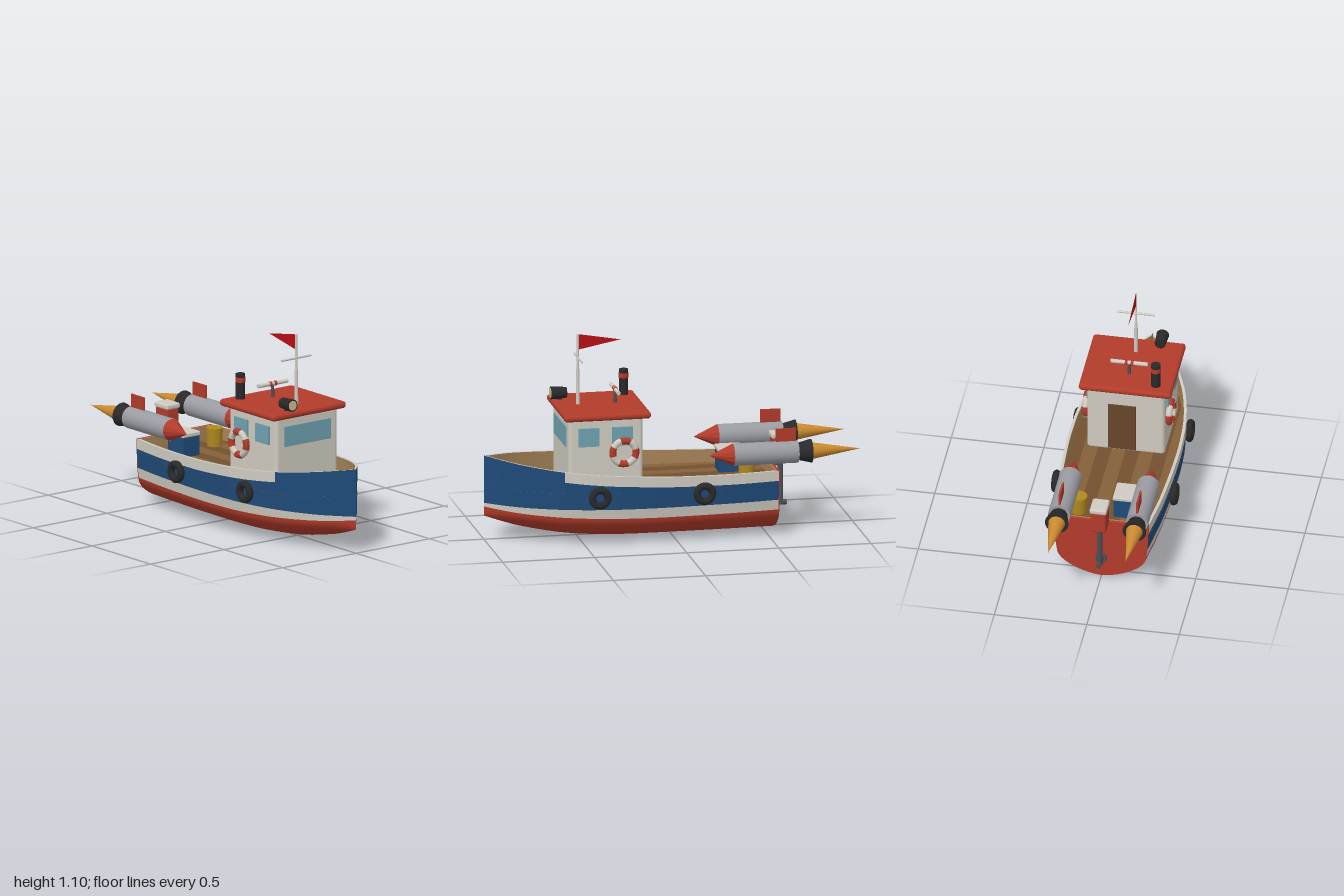
import * as THREE from 'three';
import { RoundedBoxGeometry } from 'three/addons/geometries/RoundedBoxGeometry.js';

const RED = 0xb23b2a, BLUE = 0x1f4a78, WHITE = 0xcfcbc1, TAN = 0xa88458, DARK = 0x29292b,
  STEEL = 0x9a9ca2, IRON = 0x4b4f55, GLASS = 0x6fa3b0, DECK_Y = 0.29;

const V = (x, y, z) => new THREE.Vector3(x, y, z);

function add(parent, name, geo, color, x = 0, y = 0, z = 0, opts = {}) {
  const mesh = new THREE.Mesh(geo, new THREE.MeshStandardMaterial({ color, ...opts }));
  mesh.name = name;
  mesh.position.set(x, y, z);
  parent.add(mesh);
  return mesh;
}

const box = (w, h, d) => new THREE.BoxGeometry(w, h, d);
const cyl = (rTop, rBottom, h, n = 20) => new THREE.CylinderGeometry(rTop, rBottom, h, n);
// Cylinder or cone lying along z
const zCyl = (rBack, rFront, length, n = 20) => cyl(rBack, rFront, length, n).rotateX(-Math.PI / 2);
const xCyl = (r, length) => cyl(r, r, length, 14).rotateZ(Math.PI / 2);

// Skin over rows of points
function skin(rows) {
  const n = rows[0].length, index = [];
  for (let i = 0; i < rows.length - 1; i++) {
    for (let j = 0; j < n - 1; j++) {
      const a = i * n + j, b = a + n;
      index.push(a, a + 1, b + 1, a, b + 1, b);
    }
  }
  const geo = new THREE.BufferGeometry().setFromPoints(rows.flat());
  geo.setIndex(index);
  geo.computeVertexNormals();
  return geo;
}

// Hull stations: z, half width, sheer, keel, top of the red bottom
const STATIONS = [
  [-0.55, 0.255, 0.36, 0, 0.145], [-0.3, 0.285, 0.36, 0, 0.145], [0, 0.303, 0.366, 0, 0.145],
  [0.2, 0.305, 0.376, 0, 0.146], [0.4, 0.29, 0.388, 0.006, 0.149], [0.61, 0.242, 0.406, 0.027, 0.155],
  [0.8, 0.158, 0.43, 0.066, 0.164], [0.91, 0.08, 0.446, 0.098, 0.172], [1, 0, 0.46, 0.13, 0.18],
];
const SUB = 4, STEP = 5 * SUB;

function hullSamples() {
  const curve = (a, b) => new THREE.CatmullRomCurve3(STATIONS.map((s) => V(s[a], s[b], s[0])), false, 'catmullrom');
  const upper = curve(1, 2), lower = curve(3, 4), count = (STATIONS.length - 1) * SUB;
  return Array.from({ length: count + 1 }, (_, i) => {
    const p = upper.getPoint(i / count), q = lower.getPoint(i / count);
    return { z: p.z, w: Math.max(0, p.x), sheer: p.y, keel: Math.max(0, q.x), red: q.y };
  });
}

const bottomRow = (s) => Array.from({ length: 21 }, (_, j) => {
  const a = (j / 20 - 0.5) * Math.PI;
  return V(0.945 * s.w * Math.sin(a), s.keel + (s.red - s.keel) * Math.pow(1 - Math.cos(a), 0.8), s.z);
});

function buildHull(boat) {
  const hull = new THREE.Group();
  hull.name = 'hull';
  boat.add(hull);
  const S = hullSamples(), aft = S.slice(0, STEP + 1), fore = S.slice(STEP);
  add(hull, 'hullBottom', skin(S.map(bottomRow)), RED);

  for (const side of [1, -1]) {
    const strip = (name, samples, color, points) => add(hull, name, skin(samples.map((s) => {
      const row = points(s).map(([x, y]) => V(side * x, y, s.z));
      return side > 0 ? row : row.reverse();
    })), color, 0, 0, 0, { side: THREE.DoubleSide });
    const inner = (s) => Math.max(0, s.w - 0.016);
    strip('waterlineStripe', S, WHITE, (s) => [[0.945 * s.w, s.red], [0.975 * s.w, 0.2]]);
    strip('bluePlanking', aft, BLUE, (s) => [[0.975 * s.w, 0.2], [s.w, s.sheer - 0.055]]);
    strip('upperStripe', aft, WHITE, (s) => [[s.w, s.sheer - 0.055], [s.w, s.sheer]]);
    strip('blueBow', fore, BLUE, (s) => [[0.975 * s.w, 0.2], [s.w, s.sheer - 0.055], [s.w, s.sheer]]);
    strip('gunwale', S, WHITE, (s) => [[s.w, s.sheer], [inner(s), s.sheer]]);
    strip('bulwarkLining', S, TAN, (s) => [[inner(s), s.sheer], [inner(s), DECK_Y]]);
  }

  // Transom closes the stern
  const s0 = S[0];
  const outline = [...bottomRow(s0), V(0.975 * s0.w, 0.2, 0), V(s0.w, s0.sheer, 0),
    V(-s0.w, s0.sheer, 0), V(-0.975 * s0.w, 0.2, 0)].map((p) => new THREE.Vector2(p.x, p.y));
  add(hull, 'transom', new THREE.ExtrudeGeometry(new THREE.Shape(outline), { depth: 0.015, bevelEnabled: false }),
    RED, 0, 0, -0.555);
  add(hull, 'transomLining', box(0.476, 0.072, 0.008), TAN, 0, 0.324, -0.536);

  // Deck planks, cut to the hull outline
  const planks = 8, pw = 0.6 / planks;
  for (let k = 0; k < planks; k++) {
    const x0 = -0.3 + k * pw;
    const rows = S.map((s) => [x0 + pw, x0].map((x) => V(THREE.MathUtils.clamp(x, -s.w, s.w), DECK_Y, s.z)));
    add(hull, 'deckPlank', skin(rows), k % 2 ? 0x72502e : 0x84603a);
  }
  const tip = S.filter((s) => s.z > 0.85);
  add(hull, 'bowDeck', skin(tip.map((s) => [V(s.w, DECK_Y + 0.012, s.z), V(-s.w, DECK_Y + 0.012, s.z)])), TAN);
}

// Ring of alternating red and white arcs, facing x
function lifebuoy(parent, x, y, z) {
  const ring = new THREE.Group();
  ring.name = 'lifebuoy';
  for (let i = 0; i < 8; i++) {
    const arc = new THREE.TorusGeometry(0.063, 0.019, 10, 6, Math.PI / 4);
    arc.rotateZ((i * Math.PI) / 4 + 0.3).rotateY(Math.PI / 2);
    add(ring, 'lifebuoyArc', arc, i % 2 ? RED : WHITE);
  }
  ring.position.set(x, y, z);
  parent.add(ring);
}

function buildCabin(boat) {
  const cabin = new THREE.Group();
  cabin.name = 'cabin';
  boat.add(cabin);
  add(cabin, 'cabinWalls', new RoundedBoxGeometry(0.42, 0.41, 0.405, 3, 0.02), WHITE, 0, 0.485, 0.38);
  add(cabin, 'roof', new RoundedBoxGeometry(0.5, 0.038, 0.47, 4, 0.018), RED, 0, 0.698, 0.375);
  add(cabin, 'frontWindow', box(0.312, 0.11, 0.012), GLASS, 0, 0.58, 0.583);
  add(cabin, 'door', box(0.15, 0.285, 0.016), 0x68462a, 0.02, 0.443, 0.177);
  for (const side of [1, -1]) {
    for (const z of [0.473, 0.291]) add(cabin, 'sideWindow', box(0.024, 0.1, 0.11), GLASS, side * 0.21, 0.585, z);
    lifebuoy(cabin, side * 0.225, 0.497, 0.283);
  }

  // Mast with yard and pennant
  add(cabin, 'mast', cyl(0.009, 0.011, 0.2), WHITE, 0, 0.81, 0.49);
  add(cabin, 'topmast', cyl(0.006, 0.006, 0.19), WHITE, 0, 1.005, 0.49);
  add(cabin, 'yard', xCyl(0.006, 0.2), WHITE, 0, 0.97, 0.488);
  const flag = new THREE.Shape([[0, 0.04], [0, -0.045], [0.23, 0]].map((p) => new THREE.Vector2(...p)));
  add(cabin, 'pennant', new THREE.ShapeGeometry(flag).rotateY(Math.PI / 2), 0xb80f14, 0, 1.06, 0.488,
    { side: THREE.DoubleSide });

  // Radar bar
  add(cabin, 'radarPost', cyl(0.008, 0.01, 0.07), IRON, 0, 0.748, 0.288);
  add(cabin, 'radarBar', xCyl(0.011, 0.2), WHITE, 0, 0.79, 0.288);
  for (const x of [-0.016, 0.016]) add(cabin, 'radarBand', xCyl(0.013, 0.014), RED, x, 0.79, 0.288);

  // Funnel and searchlight
  add(cabin, 'funnel', cyl(0.025, 0.025, 0.145), DARK, -0.157, 0.783, 0.21);
  add(cabin, 'funnelBand', cyl(0.027, 0.027, 0.026), RED, -0.157, 0.823, 0.21);
  add(cabin, 'searchlightFoot', cyl(0.012, 0.016, 0.03), DARK, -0.123, 0.725, 0.565);
  add(cabin, 'searchlight', zCyl(0.029, 0.034, 0.085), DARK, -0.123, 0.752, 0.57);
  add(cabin, 'searchlightLens', zCyl(0.026, 0.026, 0.006), 0xcfc08e, -0.123, 0.752, 0.613);
}

function buildRocket(boat, x) {
  const rocket = new THREE.Group();
  rocket.name = 'rocket';
  rocket.position.set(x, 0.45, 0);
  boat.add(rocket);
  add(rocket, 'rocketNose', zCyl(0.06, 0, 0.13, 12), RED, 0, 0, -0.245, { flatShading: true });
  add(rocket, 'rocketBody', zCyl(0.06, 0.06, 0.35, 28), STEEL, 0, 0, -0.485);
  add(rocket, 'rocketNozzle', zCyl(0.064, 0.045, 0.075), DARK, 0, 0, -0.697);
  add(rocket, 'rocketFlame', zCyl(0, 0.046, 0.27), 0xcb8a30, 0, 0, -0.865);
  add(rocket, 'rocketFin', box(0.01, 0.08, 0.11), RED, 0, 0.09, -0.597);
}

function buildMotor(boat) {
  const motor = new THREE.Group();
  motor.name = 'outboardMotor';
  motor.position.z = -0.61;
  boat.add(motor);
  add(motor, 'motorHousing', new RoundedBoxGeometry(0.085, 0.13, 0.1, 3, 0.012), RED, 0, 0.422, 0);
  add(motor, 'motorLid', new RoundedBoxGeometry(0.092, 0.03, 0.112, 3, 0.01), WHITE, 0, 0.495, 0);
  add(motor, 'motorShaft', cyl(0.015, 0.015, 0.25), IRON, 0, 0.24, 0);
  add(motor, 'motorClamp', box(0.06, 0.03, 0.07), IRON, 0, 0.345, 0.03);
  add(motor, 'gearbox', zCyl(0.014, 0.014, 0.08), IRON, 0, 0.122, 0.008);
  add(motor, 'propeller', zCyl(0.031, 0.031, 0.01), IRON, 0, 0.122, 0.045);
}

export function createModel() {
  const boat = new THREE.Group();
  boat.name = 'boat';
  buildHull(boat);
  buildCabin(boat);
  buildMotor(boat);
  for (const side of [1, -1]) {
    buildRocket(boat, side * 0.21);
    // Tyre fenders
    for (const [x, z] of [[0.303, 0.43], [0.32, -0.135]]) {
      add(boat, 'tyreFender', new THREE.TorusGeometry(0.042, 0.02, 12, 28).rotateY(Math.PI / 2), DARK, side * x, 0.272, z);
    }
  }

  // Cooler and bucket on the aft deck
  add(boat, 'cooler', box(0.11, 0.11, 0.13), BLUE, -0.095, DECK_Y + 0.055, -0.35);
  add(boat, 'coolerLid', new RoundedBoxGeometry(0.12, 0.025, 0.14, 2, 0.008), WHITE, -0.095, DECK_Y + 0.12, -0.35);
  add(boat, 'bucket', cyl(0.045, 0.04, 0.1), 0xb08a1e, 0.15, DECK_Y + 0.05, -0.395);
  return boat;
}
